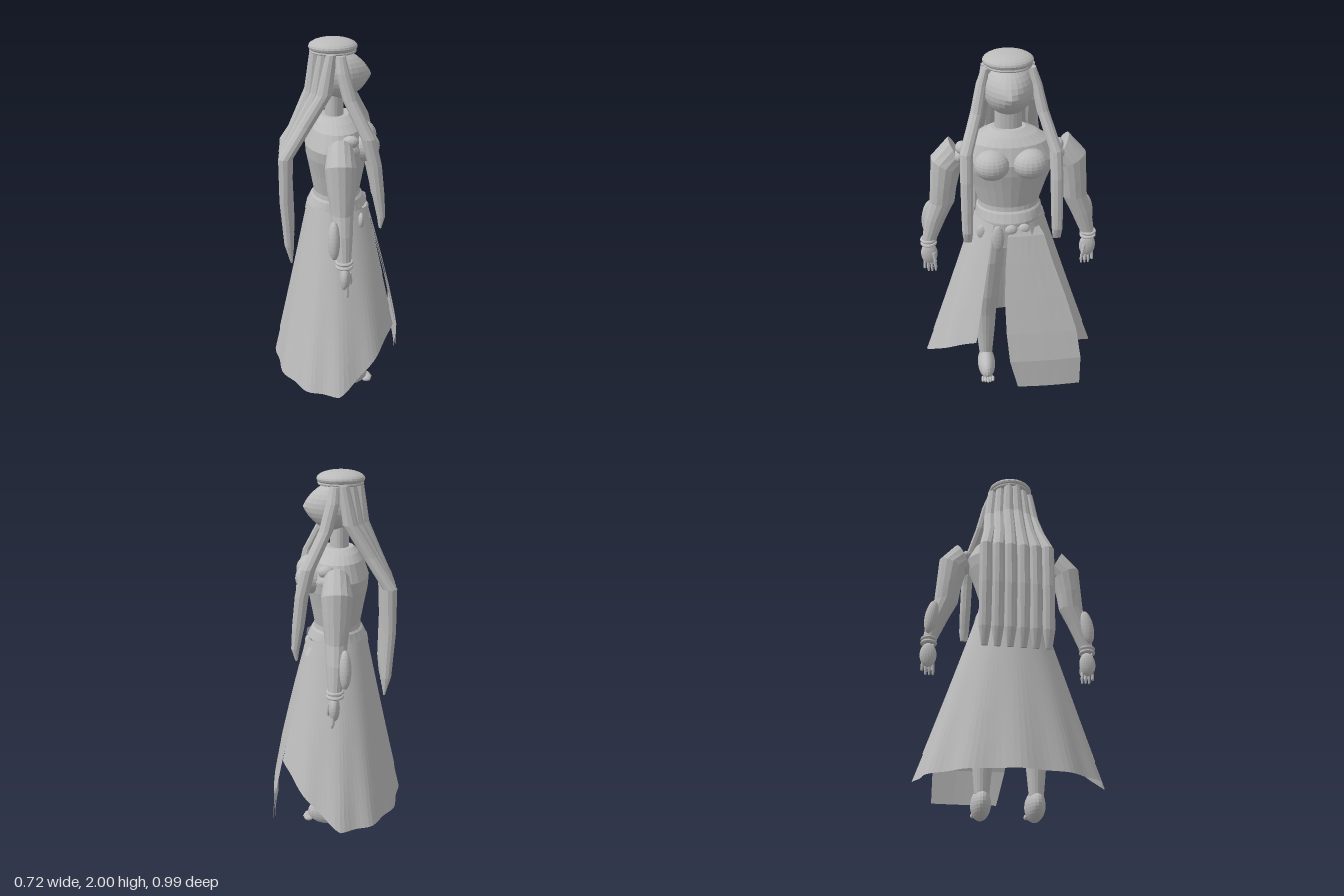
import * as THREE from 'three';

const cloth = new THREE.MeshStandardMaterial({ color: 0xbbbbbb, flatShading: true, side: THREE.DoubleSide });
cloth.name = 'plain grey';

export function createModel() {
  const root = new THREE.Group();
  root.name = 'robedFigure';

  function add(name, geo) {
    const m = new THREE.Mesh(geo, cloth);
    m.name = name;
    root.add(m);
    return m;
  }

  // Surface sampled from fn(u, v), both 0..1
  function sheet(fn, nu, nv) {
    const pos = [], idx = [];
    for (let j = 0; j <= nv; j++)
      for (let i = 0; i <= nu; i++) pos.push(...fn(i / nu, j / nv));
    for (let j = 0; j < nv; j++)
      for (let i = 0; i < nu; i++) {
        const a = j * (nu + 1) + i, b = a + nu + 1;
        idx.push(a, a + 1, b, a + 1, b + 1, b);
      }
    const g = new THREE.BufferGeometry();
    g.setAttribute('position', new THREE.Float32BufferAttribute(pos, 3));
    g.setIndex(idx);
    g.computeVertexNormals();
    return g;
  }

  // Loft through elliptical rings, top to bottom: [x, y, z, rx, rz, tilt]; ends are closed
  function loft(rings, n = 20) {
    const shrink = r => [r[0], r[1], r[2], 0, 0, 0];
    const all = [shrink(rings[0]), ...rings, shrink(rings[rings.length - 1])];
    return sheet((u, v) => {
      const [x, y, z, rx, rz, tilt = 0] = all[Math.round(v * (all.length - 1))];
      const a = -u * Math.PI * 2, dz = Math.sin(a) * rz;
      return [x + Math.cos(a) * rx, y + dz * tilt, z + dz];
    }, n, all.length - 1);
  }

  function ball(name, x, y, z, rx, ry, rz, w = 20, h = 14) {
    const m = add(name, new THREE.SphereGeometry(1, w, h));
    m.position.set(x, y, z);
    m.scale.set(rx, ry, rz);
    return m;
  }

  function ring(name, x, y, z, r, tube) {
    const m = add(name, new THREE.TorusGeometry(r, tube, 8, 28));
    m.position.set(x, y, z);
    m.rotation.x = Math.PI / 2;
    return m;
  }

  // Head: ball drawn out to a blunt point at the face
  const head = new THREE.SphereGeometry(0.125, 24, 16);
  const p = head.attributes.position;
  for (let i = 0; i < p.count; i++) {
    const x = p.getX(i);
    if (x > 0) {
      const off = Math.hypot(p.getY(i), p.getZ(i)) / 0.125;
      p.setX(i, x * 0.92 + 0.05 * (1 - off));
    }
  }
  head.computeVertexNormals();
  add('head', head).position.set(0.013, 1.815, 0);
  ball('cap', -0.018, 1.957, 0, 0.125, 0.043, 0.128, 28, 14);
  ring('headband', -0.018, 1.935, 0, 0.112, 0.008);
  add('neck', loft([[-0.012, 1.73, 0, 0.047, 0.07], [-0.012, 1.6, 0, 0.05, 0.072]]));

  // Body
  add('torso', loft([
    [-0.01, 1.61, 0, 0.075, 0.09], [-0.006, 1.585, 0, 0.107, 0.15],
    [0, 1.55, 0, 0.137, 0.205], [0, 1.46, 0, 0.168, 0.25],
    [0, 1.4, 0, 0.163, 0.235], [0, 1.31, 0, 0.145, 0.2],
    [0, 1.2, 0, 0.125, 0.165], [0, 1.1, 0, 0.14, 0.17], [0, 0.95, 0, 0.13, 0.17],
  ], 28));
  add('belt', loft([[0, 1.175, 0, 0.13, 0.168], [0, 1.165, 0, 0.14, 0.175],
    [0, 1.12, 0, 0.162, 0.182], [0, 1.115, 0, 0.14, 0.17]], 28));

  for (const s of [1, -1]) {
    const side = s > 0 ? 'right' : 'left';
    ball(side + 'Bust', 0.135, 1.46, s * 0.097, 0.086, 0.079, 0.092);

    // Arm with sleeve, bracelets and hand
    add(side + 'Sleeve', loft([
      [0.008, 1.485, s * 0.27, 0.068, 0.043, s * 1.85], [0.008, 1.42, s * 0.33, 0.08, 0.077, s * 0.5],
      [0.01, 1.3, s * 0.347, 0.07, 0.07, s * 0.2], [0.012, 1.2, s * 0.358, 0.058, 0.068],
      [0.015, 1.1, s * 0.398, 0.05, 0.058], [0.02, 0.95, s * 0.443, 0.034, 0.037],
    ], 14));
    ball(side + 'ElbowPad', -0.03, 1.08, s * 0.437, 0.032, 0.1, 0.036).rotation.x = -s * 0.15;
    for (const y of [0.965, 0.942]) ring(side + 'Bracelet', 0.02, y, s * 0.443, 0.037, 0.009);
    ball(side + 'Hand', 0.024, 0.875, s * 0.443, 0.028, 0.07, 0.046);
    for (let i = 0; i < 4; i++)
      add(side + 'Finger', loft([
        [0.028, 0.86, s * (0.42 + i * 0.016), 0.011, 0.009],
        [0.034, 0.79, s * (0.412 + i * 0.02), 0.01, 0.009],
        [0.037, 0.765 + (i === 3 ? 0.02 : 0), s * (0.412 + i * 0.02), 0.005, 0.005]], 8));
    add(side + 'Thumb', loft([[0.045, 0.89, s * 0.42, 0.012, 0.011],
      [0.055, 0.84, s * 0.412, 0.01, 0.009], [0.055, 0.82, s * 0.412, 0.005, 0.005]], 8));
    ball(side + 'ShoulderBead', 0.06, 1.53, s * 0.246, 0.042, 0.032, 0.032);
    ball(side + 'ShoulderBead', 0.055, 1.48, s * 0.258, 0.038, 0.034, 0.03);

    // Leg and foot
    add(side + 'Leg', loft([
      [0.02, 1.06, s * 0.09, 0.09, 0.085], [0.03, 0.85, s * 0.115, 0.1, 0.085],
      [0.03, 0.6, s * 0.135, 0.08, 0.075], [0.015, 0.45, s * 0.14, 0.068, 0.065],
      [0.01, 0.3, s * 0.14, 0.058, 0.055], [0.012, 0.12, s * 0.14, 0.042, 0.038]], 18));
    ball(side + 'Foot', 0.058, 0.08, s * 0.14, 0.114, 0.08, 0.052);
    for (let i = -2; i <= 2; i++)
      ball(side + 'Toe', 0.178 - Math.abs(i) * 0.005, 0.047, s * 0.14 + i * 0.015, 0.024, 0.013, 0.01, 10, 8);

    // Long tress in front of the shoulder
    add(side + 'FrontTress', loft([
      [0.015, 1.93, s * 0.115, 0.025, 0.02], [0.025, 1.85, s * 0.137, 0.034, 0.028],
      [0.06, 1.72, s * 0.165, 0.036, 0.032], [0.15, 1.54, s * 0.225, 0.037, 0.034],
      [0.185, 1.4, s * 0.23, 0.035, 0.033], [0.205, 1.24, s * 0.232, 0.032, 0.032],
      [0.222, 1.12, s * 0.234, 0.022, 0.029], [0.218, 1.06, s * 0.234, 0.008, 0.022]], 10));

    // Back tresses fanning out from the cap
    for (let k = 0; k < 3; k++) {
      const z0 = s * (0.022 + k * 0.043), z1 = s * (0.035 + k * 0.067), dx = 0.03 * k;
      add(side + 'BackTress', loft([
        [-0.108 + dx * 1.3, 1.935, z0, 0.027, 0.027],
        [-0.125 + dx, 1.74, z0 * 0.7 + z1 * 0.3, 0.04, 0.034],
        [-0.195 + dx / 2, 1.58, (z0 + z1) / 2, 0.039, 0.036],
        [-0.267, 1.42, z1, 0.038, 0.036], [-0.272, 1.18, z1, 0.033, 0.036],
        [-0.26, 0.93, z1, 0.026, 0.033], [-0.25, 0.83, z1, 0.006, 0.018]], 10));
    }
  }

  // Skirt: open at the front, hem rising towards the opening, with folds deepening downwards
  const open = 0.55;
  const skirtPoint = (u, v, grow) => {
    const a = open + u * (Math.PI * 2 - 2 * open), c = Math.cos(a);
    const hem = 0.165 + 0.33 * Math.max(0, c);
    const y = 1.12 + (hem - 1.12) * v, t = (1.12 - y) / 0.955;
    const wave = 1 + 0.022 * t * t * Math.cos(a * 12);
    const rx = (0.155 + 0.2 * t) * (c > 0 ? 1.2 : 1) + grow, rz = 0.18 + 0.305 * t + grow;
    return [rx * c * wave, y, rz * Math.sin(a) * wave];
  };
  add('skirt', sheet((u, v) => skirtPoint(u, v, 0), 80, 6));
  add('overskirt', sheet((u, v) => skirtPoint(u, v * 0.85, 0.004), 80, 5));
  add('skirtWaistband', sheet((u, v) =>
    skirtPoint(u, v * (0.04 + 0.015 * Math.cos(u * Math.PI * 40)), 0.008), 80, 1));

  // Loose front panel: [y, x, z at right edge, z at left edge]
  const rows = [[1.09, 0.16, 0.0, -0.15], [1.05, 0.18, 0.02, -0.175], [0.9, 0.22, 0.035, -0.22],
    [0.7, 0.27, 0.045, -0.29], [0.5, 0.318, 0.04, -0.35], [0.33, 0.352, 0.025, -0.375], [0.145, 0.356, -0.02, -0.375]];
  for (const d of [0, -0.008])
    add('frontPanel', sheet((u, v) => {
      const [y, x, zr, zl] = rows[Math.round(v * (rows.length - 1))];
      return [x + d + 0.006 * Math.sin(u * Math.PI) - 0.015 * u * (1 - v), y, zr + (zl - zr) * u];
    }, 6, rows.length - 1));

  // Drop ornaments hanging from the belt
  for (const [z, y, h] of [[0.15, 1.06, 0.045], [0.07, 1.025, 0.08], [0, 1.08, 0.03], [-0.07, 1.08, 0.03]])
    ball('beltDrop', 0.158 - z * z * 1.5, y, z, 0.02, h, 0.034, 14, 10);

  return root;
}
